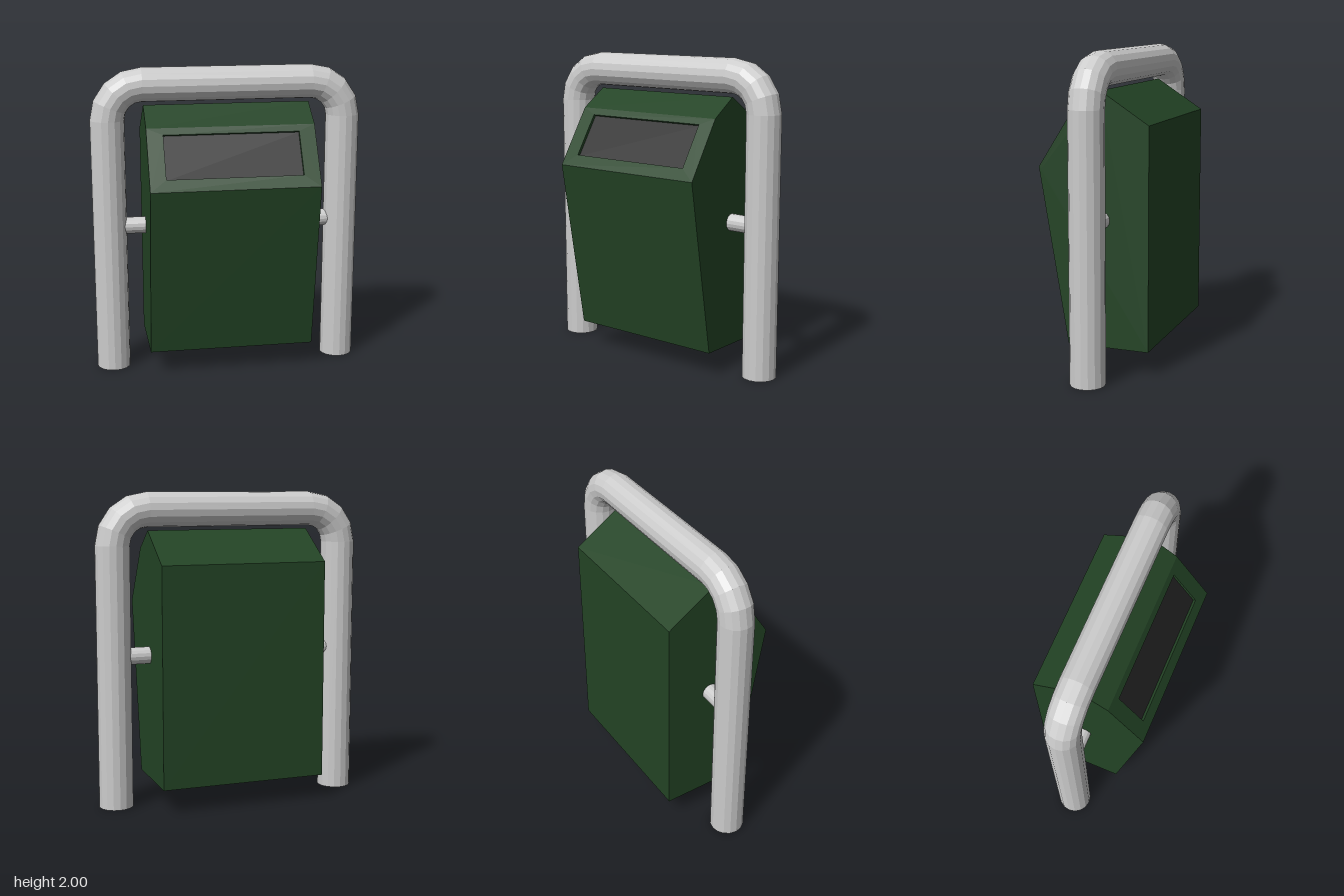
import * as THREE from 'three';

const grey = new THREE.MeshStandardMaterial({ color: 0xcccccc, flatShading: true, side: THREE.DoubleSide });
const green = new THREE.MeshStandardMaterial({ color: 0x234425, flatShading: true });
const black = new THREE.MeshStandardMaterial({ color: 0x222222, flatShading: true });

const PIPE_R = 0.11, BEND_R = 0.22, LEG_X = 0.77, LEG_H = 1.67, PIPE_Z = -0.055, SIDES = 16;
const HALF_W = 0.54, DEPTH = 0.02;

function add(parent, name, geometry, material) {
  const mesh = new THREE.Mesh(geometry, material);
  mesh.name = name;
  parent.add(mesh);
  return mesh;
}

function rectangle(path, x0, y0, x1, y1) {
  path.moveTo(x0, y0).lineTo(x1, y0).lineTo(x1, y1).lineTo(x0, y1).closePath();
  return path;
}

// Hooped pipe: two open legs, two quarter bends and a top rail
function createPipeFrame() {
  const frame = new THREE.Group();
  frame.name = 'pipeFrame';
  frame.position.z = PIPE_Z;
  const bendX = LEG_X - BEND_R;
  for (const s of [1, -1]) {
    const side = s > 0 ? 'left' : 'right';
    const leg = add(frame, side + 'Leg', new THREE.CylinderGeometry(PIPE_R, PIPE_R, LEG_H, SIDES, 1, true), grey);
    leg.position.set(s * LEG_X, LEG_H / 2, 0);
    const bend = add(frame, side + 'Bend', new THREE.TorusGeometry(BEND_R, PIPE_R, SIDES, 4, Math.PI / 2), grey);
    bend.position.set(s * bendX, LEG_H, 0);
    if (s < 0) bend.rotation.y = Math.PI;
    // Short pivot rod between leg and bin
    const rod = add(frame, side + 'PivotRod', new THREE.CylinderGeometry(0.055, 0.055, 0.16, SIDES), grey);
    rod.rotation.z = Math.PI / 2;
    rod.position.set(s * 0.6, 0.97, 0);
  }
  const rail = add(frame, 'topRail', new THREE.CylinderGeometry(PIPE_R, PIPE_R, bendX * 2, SIDES, 1, true), grey);
  rail.rotation.z = Math.PI / 2;
  rail.position.y = LEG_H + BEND_R;
  return frame;
}

// Bin: side profile extruded across x, with a slotted plate on the sloping front
function createBin() {
  const bin = new THREE.Group();
  bin.name = 'bin';
  const low = new THREE.Vector2(0.36, 1.28), high = new THREE.Vector2(0.13, 1.64);
  const slope = high.clone().sub(low);
  const length = slope.length();
  const inset = new THREE.Vector2(slope.y, -slope.x).setLength(-DEPTH);

  const profile = new THREE.Shape([
    new THREE.Vector2(-0.36, 0.16), new THREE.Vector2(0.17, 0.16),
    low, low.clone().add(inset), high.clone().add(inset), high,
    new THREE.Vector2(-0.05, 1.76), new THREE.Vector2(-0.36, 1.56),
  ]);
  const body = new THREE.ExtrudeGeometry(profile, { depth: HALF_W * 2, bevelEnabled: false });
  body.rotateY(-Math.PI / 2).translate(HALF_W, 0, 0);
  add(bin, 'binBody', body, green);

  // Plate and dark slot share the tilt of the sloping face
  const hatch = new THREE.Group();
  hatch.name = 'hatch';
  hatch.position.set(0, low.y + inset.y, low.x + inset.x);
  hatch.rotation.x = Math.atan2(slope.x, slope.y);
  bin.add(hatch);
  const plate = rectangle(new THREE.Shape(), -HALF_W, 0, HALF_W, length);
  plate.holes.push(rectangle(new THREE.Path(), -0.435, 0.083, 0.435, 0.38));
  add(hatch, 'slotPlate', new THREE.ExtrudeGeometry(plate, { depth: DEPTH, bevelEnabled: false }), green);
  const slot = add(hatch, 'slot', new THREE.PlaneGeometry(0.87, 0.297), black);
  slot.position.set(0, 0.2315, 0.002);
  return bin;
}

export function createModel() {
  const model = new THREE.Group();
  model.name = 'litterBin';
  model.add(createPipeFrame(), createBin());
  return model;
}
